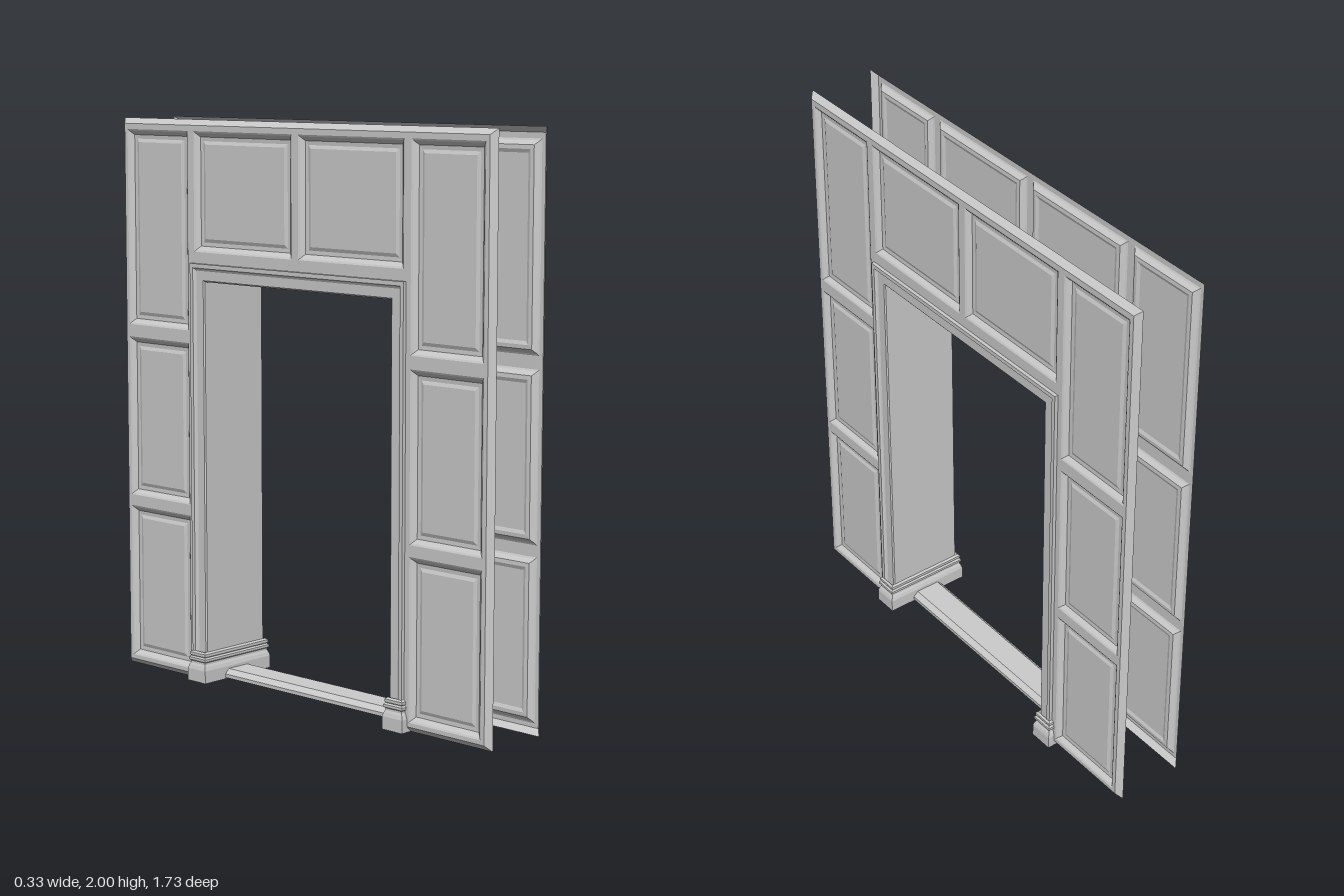
import * as THREE from 'three';

const material = new THREE.MeshStandardMaterial({ color: 0xcccccc, side: THREE.DoubleSide, flatShading: true });

// Surface through rows of [x, y, z] points, all rows of equal length
function loft(name, rows) {
  const n = rows[0].length, index = [];
  for (let r = 0; r < rows.length - 1; r++) {
    for (let i = 0; i < n - 1; i++) {
      const a = r * n + i, b = a + n;
      index.push(a, a + 1, b, a + 1, b + 1, b);
    }
  }
  const g = new THREE.BufferGeometry();
  g.setAttribute('position', new THREE.Float32BufferAttribute(rows.flat(2), 3));
  g.setIndex(index);
  const flat = g.toNonIndexed();
  flat.computeVertexNormals();
  return named(name, flat);
}

function named(name, geometry) {
  const mesh = new THREE.Mesh(geometry, material);
  mesh.name = name;
  return mesh;
}

const FACE = 0.14, BACK = 0.12;   // depth of the wall face and of its outer edge
const W = 0.865, H = 2;           // wall half width and height
const DOOR = 0.437, DOOR_H = 1.437;

// Panels as [z0, z1, y0, y1]; mirrored in z
const halfPanels = [
  [0.52, 0.83, 1.26, 1.96],
  [0.52, 0.83, 0.635, 1.215],
  [0.52, 0.83, 0.035, 0.595],
  [0.015, 0.49, 1.54, 1.96],
];
const panels = halfPanels.flatMap(([a, b, c, d]) => [[a, b, c, d], [-b, -a, c, d]]);

// Recessed panel: moulding slope, groove, then raised field
function makePanel([z0, z1, y0, y1]) {
  const profile = [[0, FACE], [0.006, 0.137], [0.02, 0.124], [0.034, 0.123], [0.046, 0.128]];
  const rows = profile.map(([d, x]) => [
    [x, y0 + d, z0 + d], [x, y0 + d, z1 - d], [x, y1 - d, z1 - d], [x, y1 - d, z0 + d], [x, y0 + d, z0 + d],
  ]);
  rows.push(Array(5).fill([0.128, (y0 + y1) / 2, (z0 + z1) / 2]));
  return loft('panel', rows);
}

function makeWall() {
  const wall = new THREE.Group();
  wall.name = 'panelledWall';

  // Flat frame with a doorway notch and panel holes
  const e = 0.02, notch = 0.49, notchTop = 1.49;
  const shape = new THREE.Shape([
    [notch, e], [W - e, e], [W - e, H - e], [e - W, H - e], [e - W, e], [-notch, e], [-notch, notchTop], [notch, notchTop],
  ].map(p => new THREE.Vector2(...p)));
  for (const [z0, z1, y0, y1] of panels) {
    shape.holes.push(new THREE.Path([[z0, y0], [z0, y1], [z1, y1], [z1, y0]].map(p => new THREE.Vector2(...p))));
  }
  const frame = new THREE.ShapeGeometry(shape);
  frame.rotateY(Math.PI / 2).translate(FACE, 0, 0);
  wall.add(named('wallFrame', frame));

  // Bevelled outer edge
  wall.add(loft('wallBevel', [[0, BACK], [e, FACE]].map(([d, x]) => [
    [x, d, notch], [x, d, W - d], [x, H - d, W - d], [x, H - d, d - W], [x, d, d - W], [x, d, -notch],
  ])));

  panels.forEach(p => wall.add(makePanel(p)));

  // Moulded casing around the doorway, swept along three sides
  const casing = [[0, 0.125], [0, 0.14], [0.005, 0.144], [0.038, 0.144], [0.044, 0.147], [0.048, 0.153], [0.063, 0.153], [0.063, 0.135]];
  wall.add(loft('doorCasing', casing.map(([d, x]) => [
    [x, 0, DOOR + d], [x, DOOR_H + d, DOOR + d], [x, DOOR_H + d, -DOOR - d], [x, 0, -DOOR - d],
  ])));
  return wall;
}

// Stepped plinth wrapping the foot of one jamb
function makePlinth() {
  const profile = [
    [0.013, 0], [0.013, 0.045], [0.009, 0.058], [0.005, 0.066], [0.005, 0.073], [0.01, 0.077],
    [0.01, 0.086], [0.004, 0.091], [0.007, 0.096], [0.007, 0.104], [0, 0.11],
  ];
  return loft('jambPlinth', profile.map(([d, y]) => {
    const x = 0.152 + d, outer = 0.5 + d, inner = DOOR - d;
    return [[BACK, y, outer], [x, y, outer], [x, y, inner], [-x, y, inner], [-x, y, outer], [-BACK, y, outer]];
  }));
}

export function createModel() {
  const model = new THREE.Group();
  model.name = 'panelledDoorway';

  // Two back-to-back walls
  const left = makeWall(), right = makeWall();
  right.rotation.y = Math.PI;
  model.add(left, right);

  // Lining of the passage: both jambs and the head
  model.add(loft('jambLining', [-FACE, FACE].map(x => [
    [x, 0, DOOR], [x, DOOR_H, DOOR], [x, DOOR_H, -DOOR], [x, 0, -DOOR],
  ])));

  // Plinths at both jambs
  const plinth = makePlinth(), mirrored = makePlinth();
  mirrored.rotation.y = Math.PI;
  model.add(plinth, mirrored);

  // Hollow threshold strip with chamfered edges
  const sill = [[-0.064, 0.005], [-0.064, 0.018], [-0.046, 0.035], [0.046, 0.035], [0.064, 0.018], [0.064, 0.005]];
  model.add(loft('threshold', [-0.455, 0.455].map(z => sill.map(([x, y]) => [x, y, z]))));

  return model;
}
